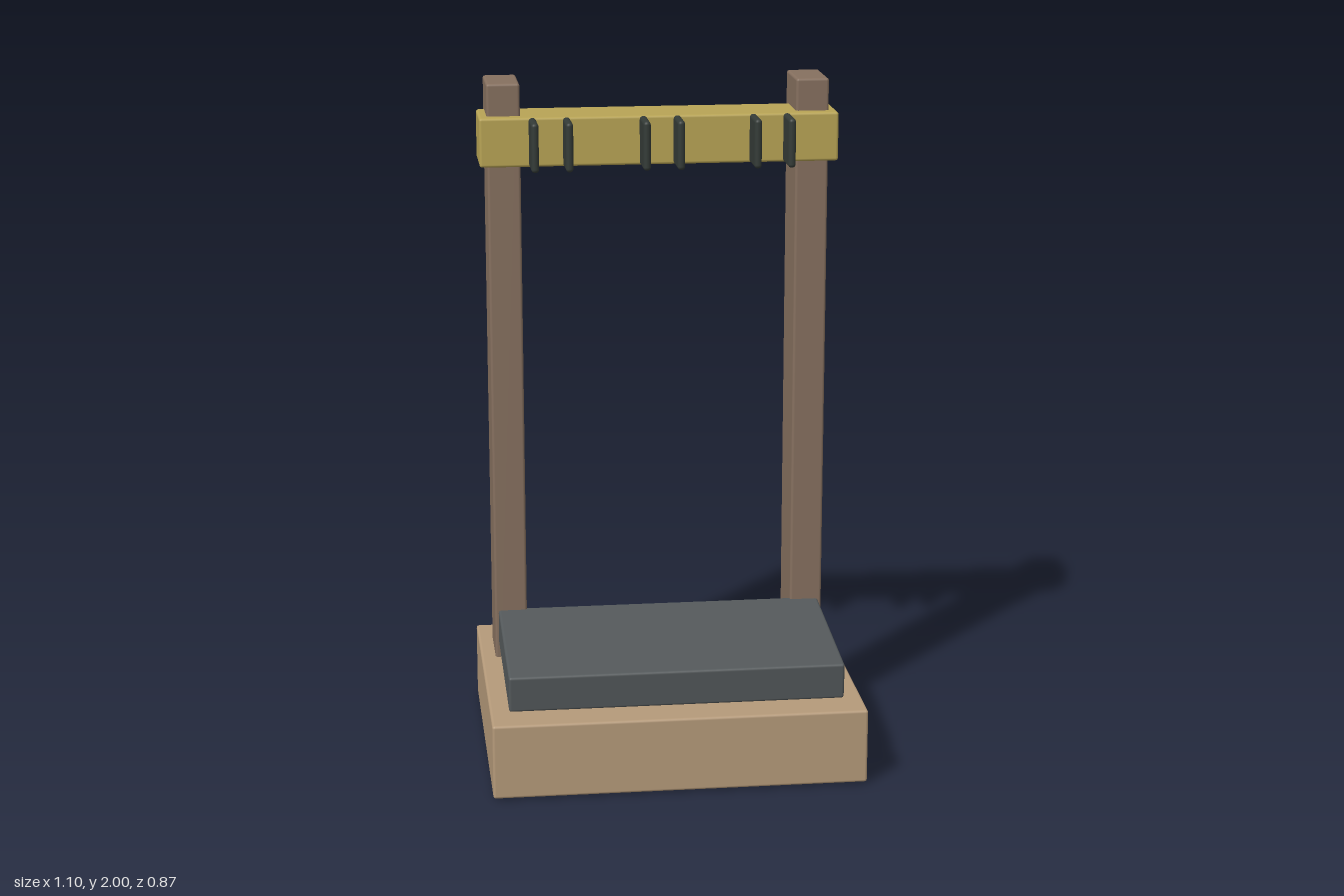
import * as THREE from 'three';
import { RoundedBoxGeometry } from 'three/addons/geometries/RoundedBoxGeometry.js';

const paint = (color) => new THREE.MeshStandardMaterial({ color });
const paleWood = paint(0xb59a7a);
const darkWood = paint(0x86705f);
const brass = paint(0xb8a455);
const slate = paint(0x54595b);
const iron = paint(0x343b37);

// Softly rounded block given by its extents on each axis
function block(name, material, [x0, x1], [y0, y1], [z0, z1], radius = 0.008) {
  const geometry = new RoundedBoxGeometry(x1 - x0, y1 - y0, z1 - z0, 3, radius);
  const mesh = new THREE.Mesh(geometry, material);
  mesh.name = name;
  mesh.position.set((x0 + x1) / 2, (y0 + y1) / 2, (z0 + z1) / 2);
  return mesh;
}

export function createModel() {
  const model = new THREE.Group();
  model.name = 'rackStand';

  model.add(block('base', paleWood, [-0.55, 0.55], [0.005, 0.23], [-0.437, 0.437]));

  // Uprights pass through the base and show on its underside
  model.add(block('leftPost', darkWood, [0.408, 0.506], [0, 2], [-0.323, -0.137]));
  model.add(block('rightPost', darkWood, [-0.506, -0.408], [0, 2], [-0.323, -0.137]));

  model.add(block('topRail', brass, [-0.53, 0.53], [1.76, 1.905], [-0.285, -0.1]));

  // Three pairs of flat hooks along the front of the rail
  for (const centre of [-0.325, 0, 0.325]) {
    for (const side of [-1, 1]) {
      const x = centre + side * 0.05;
      model.add(block('hook', iron, [x - 0.011, x + 0.011], [1.76, 1.905], [-0.108, 0.007], 0.0105));
    }
  }

  // Slab resting on its front edge, tilted up toward the posts
  const slab = block('tiltedSlab', slate, [-0.495, 0.495], [0.252, 0.362], [-0.158, 0.342]);
  slab.rotation.x = 0.08;
  model.add(slab);

  return model;
}
